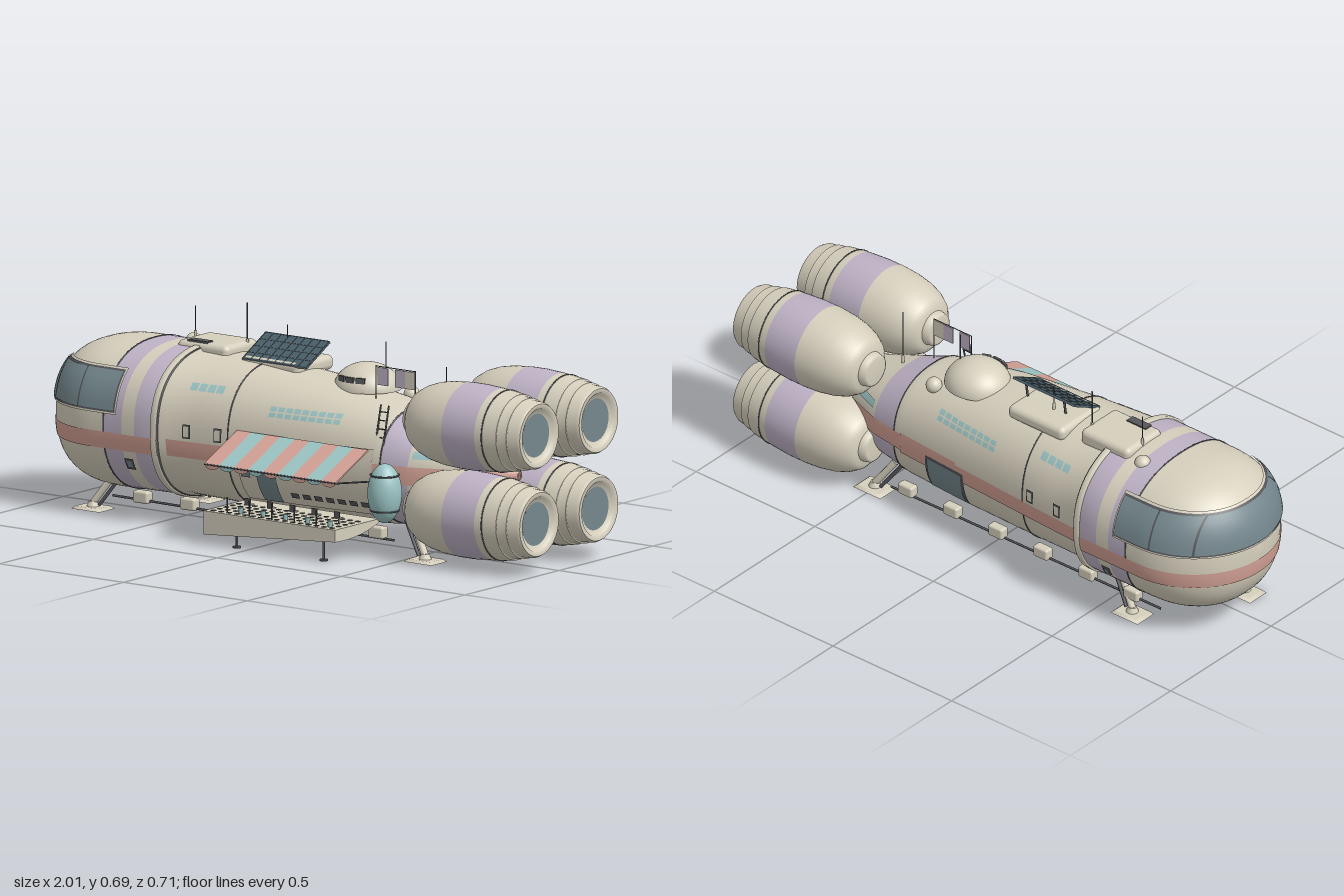
import * as THREE from 'three';
import { mergeGeometries } from 'three/addons/utils/BufferGeometryUtils.js';
import { RoundedBoxGeometry } from 'three/addons/geometries/RoundedBoxGeometry.js';

const mat = (name, color, side = THREE.FrontSide) => {
  const m = new THREE.MeshStandardMaterial({ color, side });
  m.name = name;
  return m;
};
const CZ = -0.054, P = 2.3;

// Hull stations: x, top, bottom, half width
const stations = [
  [-0.72, 0.555, 0.065, 0.28], [-0.45, 0.555, 0.068, 0.28], [-0.44, 0.546, 0.074, 0.254],
  [-0.2, 0.535, 0.065, 0.238], [0.1, 0.508, 0.06, 0.216], [0.35, 0.465, 0.07, 0.197],
  [0.48, 0.415, 0.095, 0.178], [0.6, 0.375, 0.15, 0.135], [0.72, 0.335, 0.215, 0.085], [0.8, 0.29, 0.265, 0.01],
];
function section(x) {
  if (x < -0.72) {
    const u = Math.min(1, (-0.72 - x) / 0.28);
    return { cy: 0.31, hy: 0.245 * (1 - u ** 2.5) ** 0.4, hz: 0.28 * Math.sqrt(1 - u * u) };
  }
  let i = 0;
  while (i < stations.length - 2 && x > stations[i + 1][0]) i++;
  const a = stations[i], b = stations[i + 1], t = Math.min(1, (x - a[0]) / (b[0] - a[0]));
  const [top, bot, hz] = [1, 2, 3].map(k => a[k] + (b[k] - a[k]) * t);
  return { cy: (top + bot) / 2, hy: (top - bot) / 2, hz };
}
function gridGeometry(rows, closed) {
  const n = rows[0].length, pos = rows.flat(2), idx = [];
  for (let i = 0; i < rows.length - 1; i++)
    for (let j = 0; j < (closed ? n : n - 1); j++) {
      const k = (j + 1) % n, a = i * n + j, b = a + n, c = (i + 1) * n + k, d = i * n + k;
      idx.push(a, b, c, a, c, d);
    }
  const g = new THREE.BufferGeometry();
  g.setAttribute('position', new THREE.Float32BufferAttribute(pos, 3));
  g.setIndex(idx);
  g.computeVertexNormals();
  return g;
}
// Curved plate lying on the hull; side 0 wraps round the nose
function patch(x0, x1, y0, y1, side, off = 0.003) {
  const rows = [], cols = side ? Math.max(2, Math.ceil((x1 - x0) * 30)) : 64;
  const tA = side > 0 ? 0 : -1, tB = side < 0 ? 0 : 1;
  for (let c = 0; c <= cols; c++) {
    const t = tA + (tB - tA) * c / cols, row = [];
    for (let r = 0; r <= 6; r++) {
      const y = y0 + (y1 - y0) * r / 6;
      let xs = x0, f = Math.abs(t);
      if (!side) {
        xs = -0.72 - 0.28 * (1 - (Math.abs(y - 0.31) / 0.245) ** 2.5) ** 0.4;
        f = 1 - Math.cos(f * Math.PI / 2);
      }
      const x = xs + (x1 - xs) * f, s = section(x);
      const d = Math.max(-1, Math.min(1, (y - s.cy) / s.hy));
      const z = s.hz * (1 - Math.abs(d) ** P) ** (1 / P);
      row.push([x, s.cy + d * s.hy, CZ + Math.sign(t || side) * z]);
    }
    rows.push(row);
  }
  const g = gridGeometry(rows, false), p = g.attributes.position, q = g.attributes.normal;
  for (let i = 0; i < p.count; i++)
    p.setXYZ(i, p.getX(i) + q.getX(i) * off, p.getY(i) + q.getY(i) * off, p.getZ(i) + q.getZ(i) * off);
  return g;
}
const ring = (x, grow) => Array.from({ length: 64 }, (_, j) => {
  const a = j / 64 * Math.PI * 2, s = section(x), c = Math.cos(a), n = Math.sin(a);
  return [x, s.cy + (s.hy + grow) * Math.sign(n) * Math.abs(n) ** (2 / P),
    CZ + (s.hz + grow) * Math.sign(c) * Math.abs(c) ** (2 / P)];
});

export function createModel() {
  const root = new THREE.Group();
  root.name = 'campingSpaceship';
  const cream = mat('cream hull', 0xd6cfbd), purple = mat('lilac paint', 0xbfb3c6);
  const salmon = mat('salmon paint', 0xd3a195, THREE.DoubleSide), teal = mat('pale teal', 0x9cc4c4, THREE.DoubleSide);
  const glass = mat('blue grey glass', 0x74878d), dark = mat('dark metal', 0x55565a), solar = mat('solar cells', 0x4a606b);
  const add = (name, geo, m, x = 0, y = 0, z = 0, parent = root) => {
    const o = new THREE.Mesh(geo, m);
    o.name = name;
    o.position.set(x, y, z);
    parent.add(o);
    return o;
  };
  const box = (name, m, w, h, d, x, y, z) => add(name, new THREE.BoxGeometry(w, h, d), m, x, y, z);
  const rod = (name, m, a, b, r = 0.003) => add(name, new THREE.TubeGeometry(
    new THREE.LineCurve3(new THREE.Vector3(...a), new THREE.Vector3(...b)), 1, r, 8), m);

  // Hull with painted rings
  const xs = [];
  for (let i = 0; i < 16; i++) xs.push(-0.72 - 0.28 * Math.cos(i / 16 * Math.PI / 2));
  xs.push(-0.72, -0.67, -0.595, -0.545, -0.45, -0.44, -0.32, -0.2, -0.05, 0.1, 0.22, 0.35, 0.38, 0.48, 0.54, 0.6, 0.66, 0.72, 0.76, 0.8);
  const hull = gridGeometry(xs.map(x => ring(x, 0)), true);
  const lilac = [[-0.67, -0.595], [-0.545, -0.45], [0.38, 0.48]];
  for (let i = 0; i < xs.length - 1; i++) {
    const mid = (xs[i] + xs[i + 1]) / 2;
    hull.addGroup(i * 384, 384, lilac.some(b => mid > b[0] && mid < b[1]) ? 1 : 0);
  }
  add('hull', hull, [cream, purple]);
  const band = (name, m, a, b, g) => add(name, gridGeometry([ring(a, 0), ring(a, g), ring(b, g), ring(b, 0)], true), m);
  band('hullCollar', cream, -0.475, -0.455, 0.007);
  for (const x of [-0.67, -0.452, -0.2, 0.38]) band('hullSeam', dark, x, x + 0.003, 0.0025);

  // Side stripes and nose stripe
  add('noseStripe', patch(0, -0.452, 0.235, 0.29, 0), salmon);
  for (const s of [1, -1]) {
    add('sideStripe', patch(-0.435, 0.1, 0.235, 0.29, s), salmon);
    add('sideStripe', patch(0.1, 0.35, 0.225, 0.3, s), salmon);
    add('tailStripe', patch(0.35, 0.8, 0.235, 0.295, s), salmon);
    add('tailMark', patch(0.49, 0.6, 0.32, 0.342, s), teal);
  }
  // Wraparound cockpit glazing
  add('windowFrame', patch(0, -0.615, 0.35, 0.49, 0, 0.006), cream);
  add('windowSeal', patch(0, -0.62, 0.356, 0.484, 0, 0.008), dark);
  add('cockpitWindow', patch(0, -0.625, 0.362, 0.478, 0, 0.01), glass);
  for (const s of [1, -1]) for (const x of [-0.9, -0.77])
    add('windowMullion', patch(x, x + 0.006, 0.362, 0.478, s, 0.012), dark);

  // Small windows, portholes and hatches
  for (const s of [1, -1]) {
    for (let i = 0; i < 9; i++) for (const y of [0.4, 0.418])
      add('cabinWindow', patch(-0.055 + i * 0.03, -0.031 + i * 0.03, y, y + 0.014, s), teal);
    for (let i = 0; i < 4; i++) add('forwardWindow', patch(-0.37 + i * 0.033, -0.343 + i * 0.033, 0.45, 0.472, s), teal);
    for (const x of [-0.37, -0.25]) {
      add('hatchFrame', patch(x, x + 0.03, 0.3, 0.345, s, 0.005), dark);
      add('hatchCover', patch(x + 0.005, x + 0.025, 0.306, 0.339, s, 0.008), cream);
    }
    add('porthole', patch(-0.592, -0.557, 0.175, 0.212, s, 0.005), dark);
    add('portholeGlass', patch(-0.585, -0.564, 0.182, 0.205, s, 0.008), glass);
  }
  add('bayWindowFrame', patch(0.065, 0.235, 0.14, 0.27, -1, 0.005), dark);
  add('bayWindow', patch(0.075, 0.225, 0.148, 0.262, -1, 0.008), glass);
  add('cabinWall', patch(-0.16, 0.355, 0.12, 0.34, 1, 0.005), cream);
  add('cabinDoor', patch(-0.09, -0.015, 0.125, 0.255, 1, 0.009), glass);
  add('galleyWindow', patch(-0.15, -0.115, 0.2, 0.24, 1, 0.009), glass);
  for (let i = 0; i < 7; i++) add('galleyShelf', patch(0.03 + i * 0.045, 0.06 + i * 0.045, 0.148, 0.165, 1, 0.009), dark);

  // Four engines
  const lathe = pts => new THREE.LatheGeometry(pts.map(p => new THREE.Vector2(p[1], p[0])), 48).rotateZ(-Math.PI / 2);
  // lathe profiles run along +x as [x, radius]
  const parts = [
    ['engineHub', cream, [[0.485, 0], [0.485, 0.045], [0.49, 0.055], [0.515, 0.06], [0.53, 0.06]]],
    ['engineNose', cream, [[0.508, 0.03], [0.512, 0.075], [0.53, 0.096], [0.56, 0.114], [0.6, 0.128], [0.65, 0.137], [0.71, 0.141]]],
    ['engineBand', purple, [[0.71, 0.141], [0.77, 0.141], [0.84, 0.136]]],
    ['engineTail', cream, [[0.84, 0.136], [0.87, 0.133], [0.92, 0.126]]],
    ['engineSeam', dark, [[0.866, 0.13], [0.866, 0.1355], [0.869, 0.1352], [0.869, 0.13]]],
    ['engineStep', cream, [[0.92, 0.126], [0.92, 0.121], [0.955, 0.118]]],
    ['engineStep', cream, [[0.955, 0.118], [0.955, 0.113], [0.99, 0.11], [1, 0.104]]],
    ['engineLip', cream, [[1, 0.104], [1, 0.09], [0.992, 0.086], [0.985, 0.07]]],
    ['engineNozzle', glass, [[0.986, 0.071], [0.986, 0]]],
  ];
  for (const y of [0.458, 0.168]) for (const z of [0.105, -0.212]) {
    const g = new THREE.Group();
    g.name = 'engine';
    g.position.set(0, y, z);
    root.add(g);
    for (const [name, m, pts] of parts) add(name, lathe(pts), m, 0, 0, 0, g);
  }

  // Roof fittings
  add('roofBox', new RoundedBoxGeometry(0.205, 0.06, 0.175, 3, 0.02), cream, -0.447, 0.54, -0.092);
  box('roofVent', dark, 0.08, 0.008, 0.03, -0.47, 0.57, -0.03);
  add('solarBase', new RoundedBoxGeometry(0.235, 0.05, 0.2, 3, 0.02), cream, -0.172, 0.525, -0.1);
  const panel = new THREE.Group();
  panel.name = 'solarPanel';
  panel.position.set(-0.15, 0.572, -0.064);
  panel.rotation.x = 0.49;
  root.add(panel);
  add('solarSheet', new THREE.BoxGeometry(0.26, 0.006, 0.142), solar, 0, 0, 0, panel);
  for (let i = 0; i <= 8; i++) add('solarRib', new THREE.BoxGeometry(0.002, 0.009, 0.142), dark, -0.128 + i * 0.032, 0, 0, panel);
  for (let i = 0; i <= 4; i++) add('solarRib', new THREE.BoxGeometry(0.26, 0.009, 0.002), glass, 0, 0, -0.07 + i * 0.035, panel);
  for (const x of [-0.23, -0.07]) rod('solarStrut', dark, [x, 0.53, -0.11], [x, 0.598, -0.12], 0.004);
  add('roofDome', new THREE.SphereGeometry(1, 40, 20, 0, Math.PI * 2, 0, Math.PI / 2).scale(0.112, 0.085, 0.105), cream, 0.165, 0.485, -0.083);
  for (let i = -1; i <= 1; i++) {
    const a = i * 0.38, o = box('domeWindow', dark, 0.03, 0.018, 0.009, 0.165 + Math.sin(a) * 0.1, 0.525, -0.083 + Math.cos(a) * 0.094);
    o.rotation.y = a;
  }
  for (const [x, y] of [[-0.595, 0.535], [0.285, 0.465]]) add('roofBubble', new THREE.SphereGeometry(0.027, 20, 14), cream, x, y, -0.16);
  for (const [x, b, t, z] of [[-0.545, 0.53, 0.665, -0.103], [-0.355, 0.52, 0.695, -0.128], [-0.185, 0.52, 0.645, -0.118], [0.235, 0.47, 0.645, -0.088], [0.505, 0.38, 0.6, -0.054]]) {
    rod('antenna', dark, [x, b, z], [x, t, z], 0.002);
    rod('antennaBase', cream, [x, b, z], [x, b + 0.055, z], 0.005);
  }
  // Clothes line
  for (const x of [0.262, 0.42]) rod('linePole', dark, [x, 0.42, 0], [x, 0.585, 0], 0.002);
  rod('clothesLine', dark, [0.262, 0.582, 0], [0.42, 0.582, 0], 0.0015);
  [[0.29, purple], [0.36, purple], [0.4, cream]].forEach(([x, m]) => box('laundry', m, 0.042, 0.058, 0.003, x, 0.55, 0));

  // Ladder to the roof
  for (const x of [0.35, 0.382]) rod('ladderRail', dark, [x, 0.2, 0.156], [x, 0.48, 0.09], 0.003);
  for (let i = 0; i < 10; i++) rod('ladderRung', dark, [0.35, 0.215 + i * 0.027, 0.152 - i * 0.0064], [0.382, 0.215 + i * 0.027, 0.152 - i * 0.0064], 0.002);

  // Awning with scalloped edge
  const w = 0.53 / 9;
  for (let i = 0; i < 9; i++) {
    const m = i % 2 ? teal : salmon, x = -0.165 + w * (i + 0.5);
    box('awningStripe', m, w, 0.005, 0.191, x, 0.305, 0.264).rotation.x = 0.436;
    const flap = new THREE.CircleGeometry(w / 2, 14, Math.PI, Math.PI).scale(1, 0.55, 1);
    add('awningScallop', flap, m, x, 0.265, 0.351);
  }
  rod('awningBar', dark, [-0.165, 0.264, 0.35], [0.365, 0.264, 0.35]);
  for (const x of [-0.163, 0.363]) rod('awningArm', dark, [x, 0.24, 0.16], [x, 0.264, 0.35]);

  // Fold-down deck with a curved, tapering underside
  const profile = new THREE.Shape();
  profile.moveTo(-0.12, 0.112);
  profile.lineTo(-0.356, 0.112);
  profile.lineTo(-0.356, 0.072);
  profile.bezierCurveTo(-0.29, 0.066, -0.2, 0.072, -0.12, 0.1);
  const deck = new THREE.ExtrudeGeometry(profile, { depth: 0.53, bevelEnabled: false, curveSegments: 16 });
  deck.rotateY(Math.PI / 2).translate(-0.165, 0, 0);
  const dp = deck.attributes.position;
  for (let i = 0; i < dp.count; i++) if (dp.getY(i) < 0.105) dp.setY(i, dp.getY(i) - 0.038 * (0.365 - dp.getX(i)) / 0.53);
  deck.computeVertexNormals();
  add('deck', deck, cream);
  const tiles = [];
  for (let i = 0; i < 16; i++) for (let j = 0; j < 5; j++)
    tiles.push(new THREE.BoxGeometry(0.013, 0.002, 0.013).translate(-0.14 + i * 0.032, 0.113, 0.2 + j * 0.034));
  add('deckTiles', mergeGeometries(tiles), dark);
  for (const x of [-0.05, 0.3]) {
    rod('deckLeg', dark, [x, 0.004, 0.33], [x, 0.07, 0.33], 0.004);
    add('deckFoot', new THREE.CylinderGeometry(0.014, 0.014, 0.005, 16), dark, x, 0.0025, 0.33);
  }
  for (let i = 0; i < 5; i++) {
    const x = -0.08 + i * 0.09;
    rod('deckLampPost', dark, [x, 0.11, 0.342], [x, 0.165, 0.342], 0.0025);
    add('stool', new THREE.CylinderGeometry(0.009, 0.007, 0.02, 12), teal, x + 0.04, 0.122, 0.322);
    rod('chairLeg', dark, [x + 0.03, 0.11, 0.262], [x + 0.03, 0.13, 0.262], 0.003);
    box('chairSeat', cream, 0.022, 0.004, 0.022, x + 0.03, 0.131, 0.262);
    box('chairBack', dark, 0.022, 0.022, 0.003, x + 0.03, 0.142, 0.272);
  }

  // Side tank
  add('tank', new THREE.SphereGeometry(1, 32, 20).scale(0.056, 0.097, 0.056), teal, 0.437, 0.215, 0.185);
  for (const y of [0.16, 0.275]) add('tankStrap', new THREE.TorusGeometry(0.046, 0.003, 8, 32).rotateX(Math.PI / 2), dark, 0.437, y, 0.185);
  rod('tankBracket', dark, [0.437, 0.275, 0.1], [0.437, 0.275, 0.24]);

  // Landing feet
  for (const [x, z, inward] of [[-0.805, 0.1, 1], [-0.61, -0.23, 1], [0.57, 0.145, -1], [0.5, -0.2, -1]]) {
    add('footPad', new THREE.CylinderGeometry(0.05, 0.062, 0.009, 4).rotateY(Math.PI / 4).scale(1.3, 1, 0.95), cream, x, 0.0045, z);
    add('ankle', new THREE.CylinderGeometry(0.014, 0.022, 0.02, 16), cream, x, 0.016, z);
    const hip = [x + inward * 0.07, 0.12, CZ + (z - CZ) * 0.85];
    rod('footStrut', cream, [x, 0.02, z], hip, 0.012);
    rod('footPiston', dark, [x + inward * 0.025, 0.015, z], [hip[0] + inward * 0.03, 0.12, hip[2]], 0.006);
  }

  // Skid rails along the belly
  for (const s of [1, -1]) {
    const z = CZ + s * 0.16;
    rod('bellyRail', dark, [-0.72, 0.055, z], [0.42, 0.045, z], 0.004);
    for (let i = 0; i < 6; i++)
      add('railBlock', new RoundedBoxGeometry(0.06, 0.04, 0.035, 2, 0.008), cream, -0.6 + i * 0.19, 0.065, z);
  }
  return root;
}
